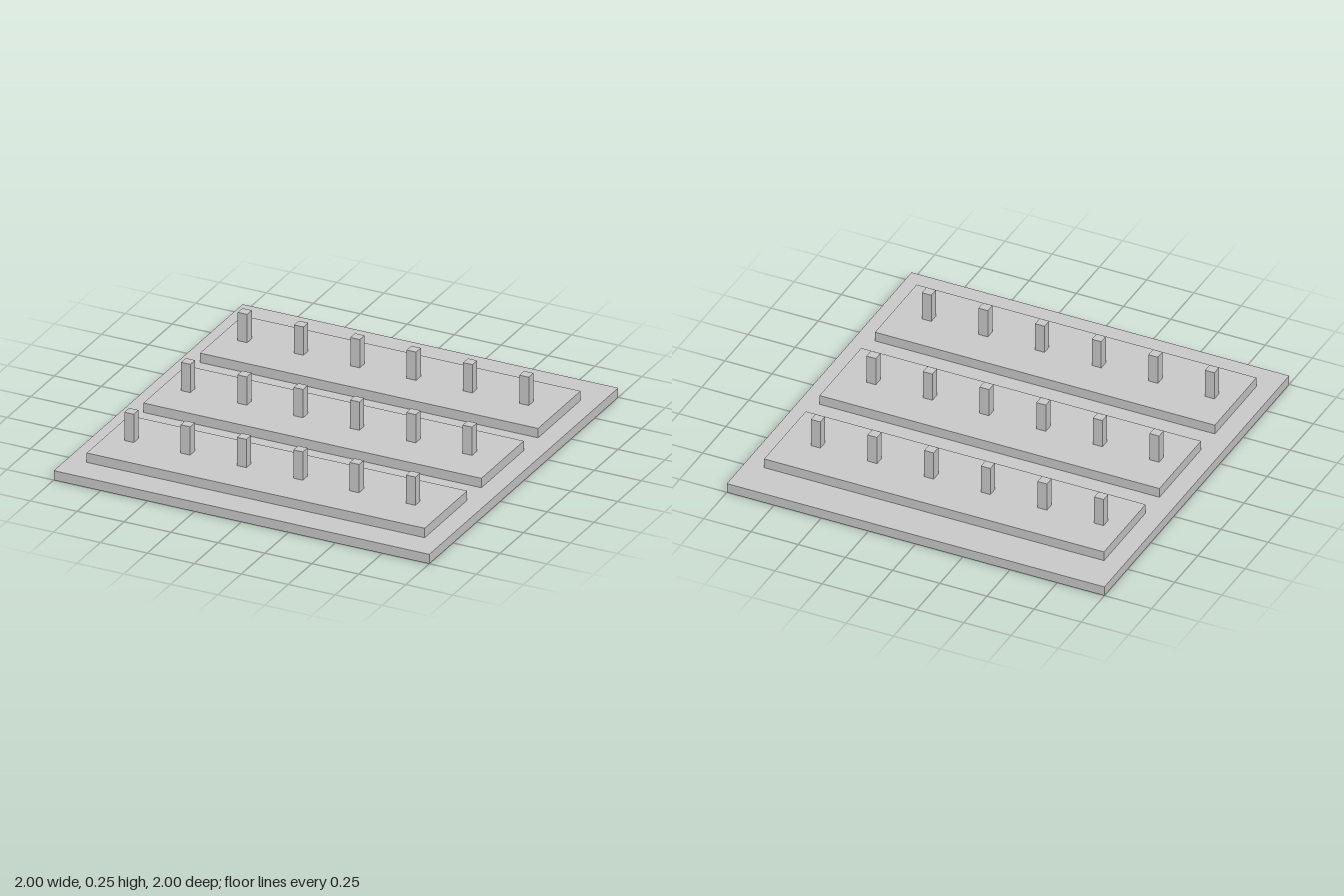
import * as THREE from 'three';

const material = new THREE.MeshStandardMaterial({ color: 0xcccccc, flatShading: true });

// Box whose underside rests at height y
function block(name, width, height, depth, x, y, z) {
  const mesh = new THREE.Mesh(new THREE.BoxGeometry(width, height, depth), material);
  mesh.name = name;
  mesh.position.set(x, y + height / 2, z);
  return mesh;
}

export function createModel() {
  const model = new THREE.Group();
  model.name = 'plantingBeds';

  // Ground slab
  model.add(block('groundSlab', 2, 0.05, 2, 0, 0, 0));

  // Three raised beds, each with a row of six square posts
  for (let row = 0; row < 3; row++) {
    const bedRow = new THREE.Group();
    bedRow.name = `bedRow${row + 1}`;
    bedRow.position.z = -0.575 + row * 0.6;
    bedRow.add(block('raisedBed', 1.8, 0.05, 0.45, 0, 0.05, 0));
    for (let i = 0; i < 6; i++) {
      bedRow.add(block(`post${i + 1}`, 0.05, 0.15, 0.05, -0.775 + i * 0.3, 0.1, 0));
    }
    model.add(bedRow);
  }

  return model;
}
